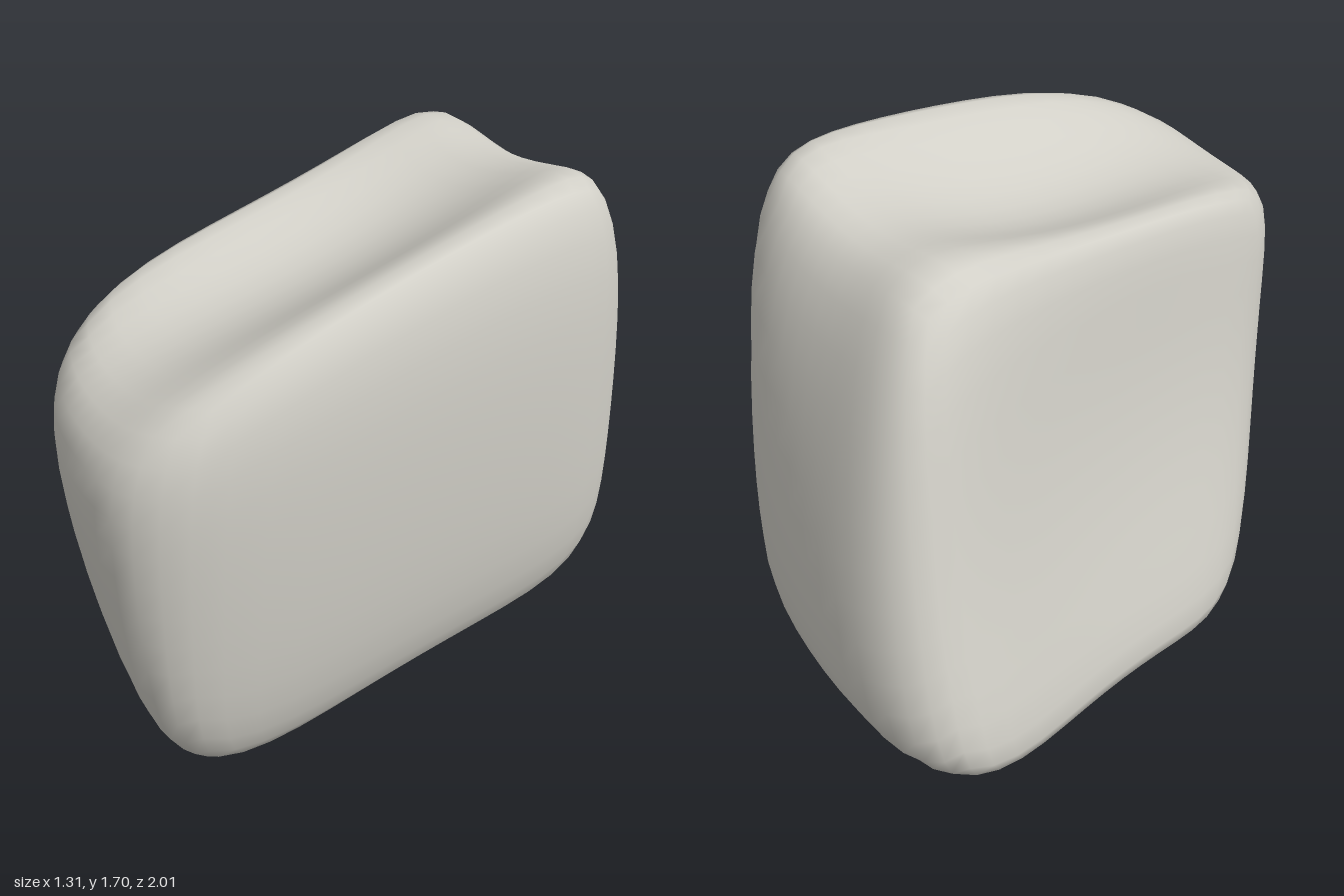
import * as THREE from 'three';
import { mergeVertices } from 'three/addons/utils/BufferGeometryUtils.js';

// Control points of the stone: layers go up, rows go front to back, points go from -x to +x
const LAYERS = [
  [ // underside, slightly hollow
    [[-0.5, -0.02, 0.4], [0.08, 0.08, 0.63], [0.45, 0.16, 0.75]],
    [[-0.57, 0.05, -0.15], [0, 0.17, -0.05], [0.45, 0.14, 0]],
    [[-0.69, 0.27, -0.79], [-0.11, 0.25, -0.81], [0.44, 0.27, -0.68]],
  ],
  [ // waist
    [[-0.28, 0.74, 0.62], [0.2, 0.88, 0.97], [0.58, 0.8, 0.85]],
    [[-0.38, 0.85, -0.1], [0, 0.85, 0], [0.64, 0.9, 0]],
    [[-0.54, 0.9, -0.8], [-0.09, 0.78, -0.97], [0.53, 0.9, -0.69]],
  ],
  [ // top, dished in the middle
    [[-0.19, 1.38, 0.69], [0.2, 1.33, 0.83], [0.56, 1.41, 0.79]],
    [[-0.27, 1.59, -0.05], [0.13, 1.48, -0.05], [0.55, 1.71, -0.1]],
    [[-0.34, 1.65, -0.63], [0.08, 1.64, -0.61], [0.46, 1.62, -0.55]],
  ],
];
const CENTRE = [0, 0.85, 0];
const ROUNDING = 5;

// Quadratic weights for the three controls along one axis
const weights = (t) => [t * (t - 1) / 2, 1 - t * t, t * (t + 1) / 2];

// A rounded cube bent through the 27 control points
function stoneGeometry() {
  const box = new THREE.BoxGeometry(2, 2, 2, 14, 14, 14);
  box.deleteAttribute('uv');
  box.deleteAttribute('normal');
  const geometry = mergeVertices(box);
  const pos = geometry.attributes.position;
  const v = new THREE.Vector3();

  for (let n = 0; n < pos.count; n++) {
    v.fromBufferAttribute(pos, n);
    const sum = ['x', 'y', 'z'].reduce((s, a) => s + Math.abs(v[a]) ** ROUNDING, 0);
    v.multiplyScalar(sum ** (-1 / ROUNDING));
    const wx = weights(v.x), wy = weights(v.y), wz = weights(-v.z);
    const out = [0, 0, 0];
    for (let j = 0; j < 3; j++) for (let k = 0; k < 3; k++) for (let i = 0; i < 3; i++) {
      // Edges and corners are pushed out to make up for the rounding
      const sides = (i !== 1) + (j !== 1) + (k !== 1);
      const push = Math.max(sides, 1) ** (1 / ROUNDING);
      const w = wx[i] * wy[j] * wz[k];
      for (let a = 0; a < 3; a++) {
        out[a] += w * (CENTRE[a] + (LAYERS[j][k][i][a] - CENTRE[a]) * push);
      }
    }
    pos.setXYZ(n, ...out);
  }
  geometry.computeVertexNormals();
  return geometry;
}

export function createModel() {
  const stoneGrey = new THREE.MeshStandardMaterial({ color: 0xd2d0c8 });
  stoneGrey.name = 'stoneGrey';

  const stone = new THREE.Mesh(stoneGeometry(), stoneGrey);
  stone.name = 'stone';

  const model = new THREE.Group();
  model.name = 'boulder';
  model.add(stone);
  return model;
}
